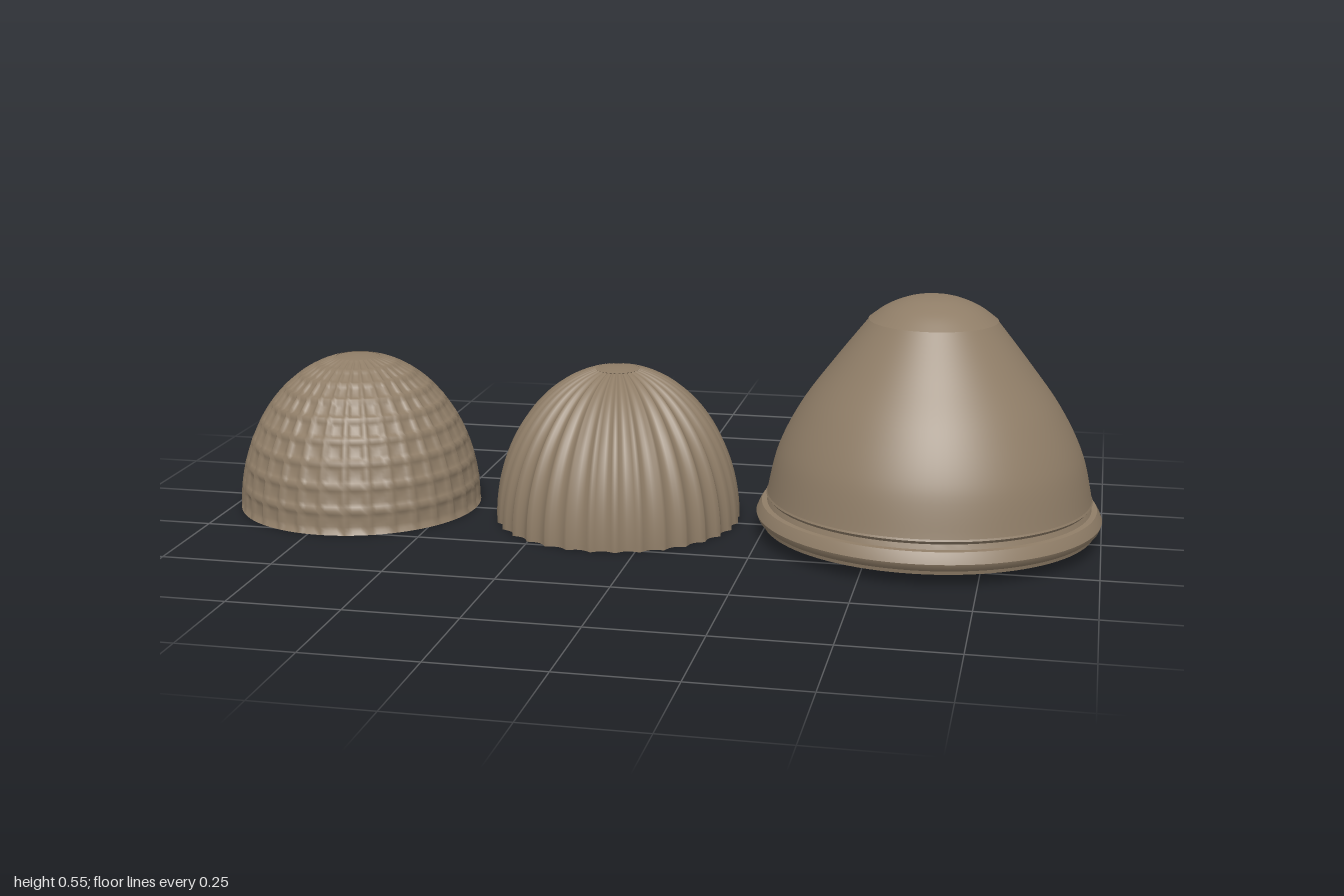
import * as THREE from 'three';
import { mergeVertices, toCreasedNormals } from 'three/addons/utils/BufferGeometryUtils.js';

const material = new THREE.MeshStandardMaterial({ color: 0x8f7d67, side: THREE.DoubleSide });
const RIBS = 32, STEPS = 6;

const points = (list) => list.map(([r, y]) => new THREE.Vector2(r, y));
const smooth = (list, n) => new THREE.SplineCurve(points(list)).getPoints(n);

function addMesh(parent, name, geometry) {
  const mesh = new THREE.Mesh(geometry, material);
  mesh.name = name;
  parent.add(mesh);
}

// thin raised line at every whole number
const ridge = (t) => Math.pow(Math.abs(Math.cos(Math.PI * t)), 10);
// hollow flute between whole numbers
const flute = (t) => 1 - Math.abs(Math.sin(Math.PI * t));

// Open dome whose wall is pushed in and out by relief(rib, row), 0 to 1
function reliefDome(rows, depth, relief) {
  const radius = 0.281, height = 0.358, topAngle = 1.39, n = rows * STEPS;
  const profile = [];
  for (let i = 0; i <= n; i++) {
    const a = topAngle * i / n;
    profile.push(new THREE.Vector2(radius * Math.cos(a), height * Math.sin(a)));
  }
  const geometry = new THREE.LatheGeometry(profile, RIBS * STEPS);
  const p = geometry.attributes.position;
  for (let i = 0; i < p.count; i++) {
    const row = (i % (n + 1)) / STEPS;
    const rib = Math.floor(i / (n + 1)) / STEPS;
    const r = Math.hypot(p.getX(i), p.getZ(i));
    const inset = depth * (1 - relief(rib, row)) * Math.min(1, r / 0.2);
    const a = topAngle * row / rows;
    const s = (r - inset * Math.cos(a)) / r;
    p.setXYZ(i, p.getX(i) * s, p.getY(i) - inset * Math.sin(a), p.getZ(i) * s);
  }
  geometry.deleteAttribute('uv');
  geometry.deleteAttribute('normal');
  const welded = mergeVertices(geometry);
  welded.computeVertexNormals();
  return welded;
}

// Small flat disc that closes the crown of a relief dome
function crownDisc() {
  return new THREE.LatheGeometry(points([[0.051, 0.351], [0.03, 0.355], [0, 0.356]]), RIBS);
}

function smallDome(name, x, rows, depth, relief) {
  const dome = new THREE.Group();
  dome.name = name;
  dome.position.x = x;
  addMesh(dome, 'domeWall', reliefDome(rows, depth, relief));
  addMesh(dome, 'crownDisc', crownDisc());
  return dome;
}

function largeDome() {
  const dome = new THREE.Group();
  dome.name = 'largeDome';
  dome.position.x = 0.616;

  // tall smooth wall
  const wall = smooth([[0.36, 0.1], [0.336, 0.2], [0.286, 0.3], [0.214, 0.4], [0.14, 0.495]], 32);
  addMesh(dome, 'domeWall', new THREE.LatheGeometry(wall, 96));

  // rounded cap above the seam
  const cap = smooth([[0.142, 0.495], [0.105, 0.522], [0.06, 0.541], [0.025, 0.547], [0, 0.548]], 16);
  addMesh(dome, 'domeCap', new THREE.LatheGeometry(cap, 96));

  // base band, bulging rim and inner lip
  const rim = points([
    [0.36, 0.101], [0.362, 0.097], [0.356, 0.09], [0.36, 0.079], [0.372, 0.078], [0.378, 0.068],
    [0.384, 0.054], [0.38, 0.043], [0.371, 0.036], [0.369, 0.028], [0.348, 0.027],
    [0.336, 0.032], [0.336, 0.06], [0.346, 0.068], [0.35, 0.092], [0.359, 0.1],
  ].reverse());
  addMesh(dome, 'rim', toCreasedNormals(new THREE.LatheGeometry(rim, 96), 0.6));
  return dome;
}

export function createModel() {
  const group = new THREE.Group();
  group.name = 'domes';
  group.add(
    smallDome('griddedDome', -0.719, 9, 0.008, (rib, row) => Math.max(ridge(rib), ridge(row))),
    smallDome('flutedDome', -0.096, 8, 0.012, (rib) => flute(rib)),
    largeDome(),
  );
  return group;
}
